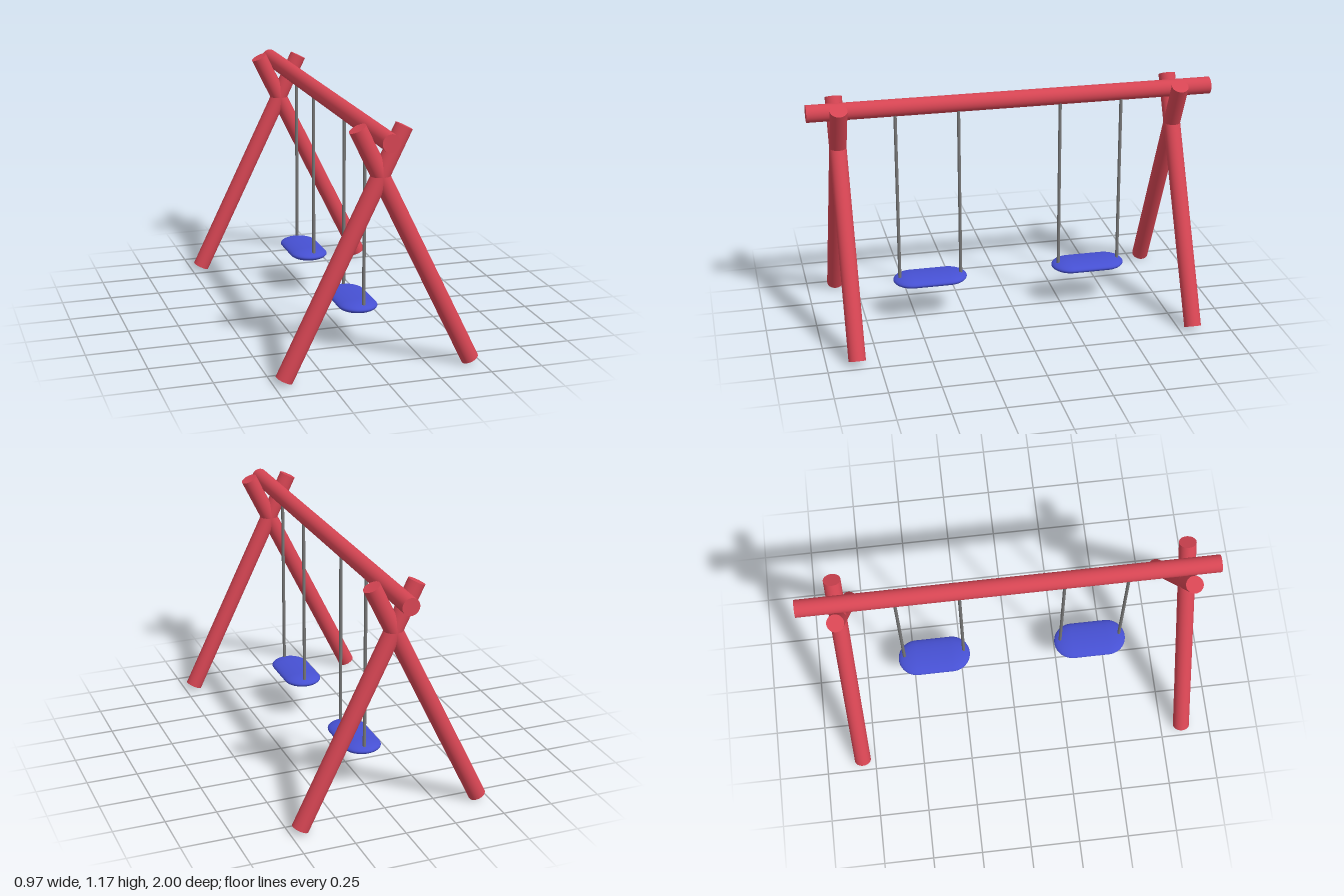
import * as THREE from 'three';

export function createModel() {
  const model = new THREE.Group();
  model.name = 'swingSet';
  const wood = new THREE.MeshStandardMaterial({ color: 0xd64553 });
  const metal = new THREE.MeshStandardMaterial({ color: 0x777777 });
  const plastic = new THREE.MeshStandardMaterial({ color: 0x4650d2 });
  const up = new THREE.Vector3(0, 1, 0);

  // Round bar running from point a to point b
  function bar(name, a, b, radius, sides, material, parent) {
    const start = new THREE.Vector3(...a);
    const dir = new THREE.Vector3(...b).sub(start);
    const mesh = new THREE.Mesh(
      new THREE.CylinderGeometry(radius, radius, dir.length(), sides), material);
    mesh.name = name;
    mesh.position.copy(start).addScaledVector(dir, 0.5);
    mesh.quaternion.setFromUnitVectors(up, dir.normalize());
    parent.add(mesh);
  }

  // Top beam
  bar('topBeam', [0, 1.12, -1], [0, 1.12, 1], 0.042, 40, wood, model);

  // Crossed legs at each end
  for (const [end, z] of [['front', 0.855], ['back', -0.815]]) {
    const frame = new THREE.Group();
    frame.name = end + 'LegPair';
    for (const s of [1, -1]) {
      bar(s > 0 ? 'leftLeg' : 'rightLeg',
        [s * 0.449, 0.022, z], [-s * 0.108, 1.16, z], 0.0415, 40, wood, frame);
    }
    model.add(frame);
  }

  // Seat: a capsule lying along z, pressed flat
  const seatGeometry = new THREE.CapsuleGeometry(0.095, 0.18, 16, 48, 4);
  seatGeometry.rotateX(Math.PI / 2);
  seatGeometry.scale(1, 0.295, 1);

  // Two swings, each a seat on two hanging rods
  for (const [end, z] of [['front', 0.424], ['back', -0.388]]) {
    const swing = new THREE.Group();
    swing.name = end + 'Swing';
    const seat = new THREE.Mesh(seatGeometry, plastic);
    seat.name = 'seat';
    seat.position.set(0.01, 0.215, z);
    swing.add(seat);
    for (const s of [1, -1]) {
      const rz = z + s * 0.154;
      bar('hangingRod', [0.02, 0.215, rz], [0.02, 1.1, rz], 0.008, 16, metal, swing);
    }
    model.add(swing);
  }
  return model;
}
